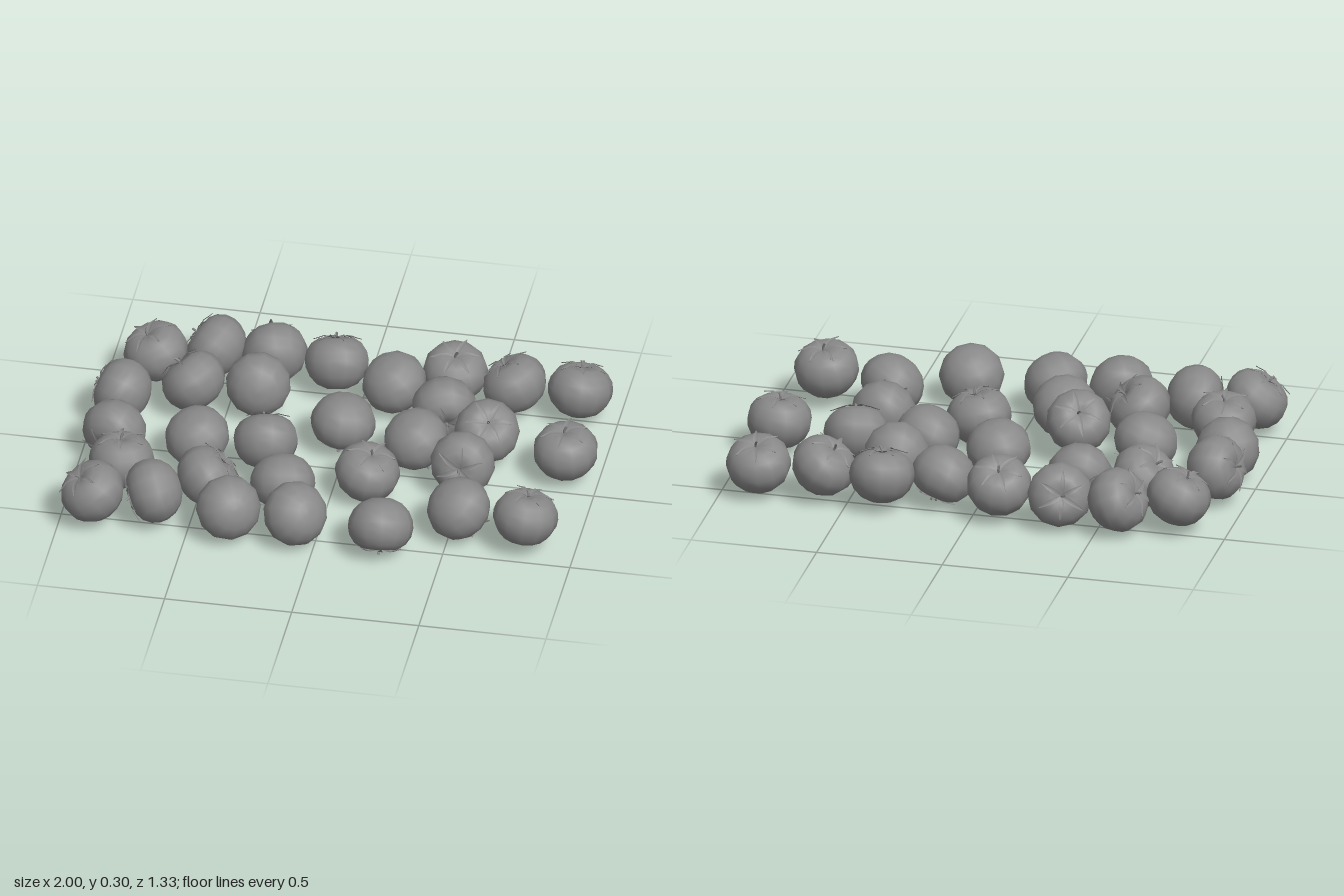
import * as THREE from 'three';

const R = 0.127;
const material = new THREE.MeshStandardMaterial({ color: 0x888888 });
const thinMaterial = new THREE.MeshStandardMaterial({ color: 0x888888, side: THREE.DoubleSide });

// Each row: centre x, y, z, then the sideways lean of the stem in x and z
const stemUp = [
  [-0.805, 0.14, -0.46, -0.38, 0.1], [-0.58, 0.14, -0.54, -0.85, -0.2],
  [-0.353, 0.14, -0.535, -0.3, -0.9], [-0.107, 0.14, -0.515, -0.1, -0.5],
  [0.355, 0.14, -0.535, 0.05, 0.25], [0.6, 0.14, -0.497, -0.5, -0.1],
  [0.85, 0.13, -0.515, 0.05, -0.32], [-0.623, 0.14, -0.288, -0.65, -0.25],
  [0.55, 0.14, -0.16, 0.15, 0.55], [0.873, 0.13, -0.092, -0.05, 0.05],
  [-0.878, 0.15, -0.163, -0.95, -0.2], [-0.27, 0.165, 0.105, -0.15, -0.7],
  [0.14, 0.115, 0.17, 0.22, 0.06], [0.498, 0.14, 0.062, 0, 0.97],
  [-0.8, 0.14, 0.3, -0.05, -0.15], [-0.458, 0.14, 0.35, 0.65, -0.3],
  [0.807, 0.145, 0.405, 0.1, -0.2], [-0.867, 0.14, 0.53, -0.55, 0.22],
];
const stemDown = [
  [0.13, 0.14, -0.437, 0.35, -0.3], [-0.378, 0.14, -0.312, -0.15, -0.95],
  [0.352, 0.14, -0.308, 0.3, 0.92], [-0.01, 0.14, -0.14, -0.1, 0.15],
  [0.283, 0.14, -0.07, 0.35, -0.3], [-0.868, 0.13, 0.067, -0.25, 0.93],
  [-0.55, 0.14, 0.068, 0.3, -0.3], [-0.165, 0.14, 0.308, 0.1, 0.55],
  [0.533, 0.14, 0.37, 0.5, -0.35], [-0.633, 0.15, 0.485, -0.92, 0.3],
  [-0.332, 0.145, 0.545, -0.4, -0.8], [-0.07, 0.14, 0.528, -0.6, -0.6],
  [0.262, 0.135, 0.53, 0.05, 0.5],
];

// Flattened round fruit with a dimple under the stem
function fruitGeometry() {
  const profile = [
    [0, -0.1], [0.04, -0.098], [0.08, -0.08], [0.108, -0.051], [0.124, -0.015], [R, 0.015],
    [0.12, 0.048], [0.1, 0.078], [0.07, 0.097], [0.042, 0.1], [0.018, 0.092], [0, 0.086],
  ].map(([r, y]) => new THREE.Vector2(r, y));
  return new THREE.LatheGeometry(profile, 12);
}

// Star of six folded, pointed leaves that follow the shoulder and curl at the tip
function calyxGeometry() {
  const stations = [
    [0.004, 0.092, 0.005], [0.03, 0.102, 0.010], [0.055, 0.105, 0.009],
    [0.08, 0.097, 0.006], [0.1, 0.092, 0.001],
  ];
  const positions = [], index = [];
  for (let leaf = 0; leaf < 6; leaf++) {
    const a = (leaf / 6) * Math.PI * 2;
    const reach = leaf % 2 ? 1 : 0.93;
    stations.forEach(([r, y, w], i) => {
      for (const side of [-1, 0, 1]) {
        const rr = r * reach, s = side * w;
        positions.push(
          Math.cos(a) * rr - Math.sin(a) * s,
          y + (side ? 0.003 : 0),
          Math.sin(a) * rr + Math.cos(a) * s);
      }
      if (i === stations.length - 1) return;
      const b = (leaf * stations.length + i) * 3;
      for (const k of [b, b + 1]) index.push(k, k + 1, k + 3, k + 1, k + 4, k + 3);
    });
  }
  const geometry = new THREE.BufferGeometry();
  geometry.setAttribute('position', new THREE.Float32BufferAttribute(positions, 3));
  geometry.setIndex(index);
  geometry.computeVertexNormals();
  return geometry;
}

// Short bent stalk
function stalkGeometry() {
  const path = new THREE.CatmullRomCurve3([
    new THREE.Vector3(0, 0.085, 0), new THREE.Vector3(0.001, 0.105, 0), new THREE.Vector3(0.008, 0.12, 0.003),
  ]);
  return new THREE.TubeGeometry(path, 4, 0.005, 6);
}

export function createModel() {
  const model = new THREE.Group();
  model.name = 'tomatoes';
  const up = new THREE.Vector3(0, 1, 0);
  const parts = {
    fruit: [fruitGeometry(), material],
    calyx: [calyxGeometry(), thinMaterial],
    stalk: [stalkGeometry(), thinMaterial],
  };
  let count = 0;

  const addTomato = ([x, y, z, leanX, leanZ], sign) => {
    const tomato = new THREE.Group();
    tomato.name = `tomato${++count}`;
    for (const [name, [geometry, mat]] of Object.entries(parts)) {
      const mesh = new THREE.Mesh(geometry, mat);
      mesh.name = name;
      tomato.add(mesh);
    }
    // Tip the stem axis over, then turn the fruit about it
    const height = Math.sqrt(Math.max(0, 1 - leanX * leanX - leanZ * leanZ));
    const axis = new THREE.Vector3(leanX, sign * height, leanZ).normalize();
    tomato.quaternion.setFromUnitVectors(up, axis);
    tomato.rotateY(count * 1.3);
    tomato.position.set(x, y, z);
    model.add(tomato);
  };

  stemUp.forEach((row) => addTomato(row, 1));
  stemDown.forEach((row) => addTomato(row, -1));
  return model;
}
